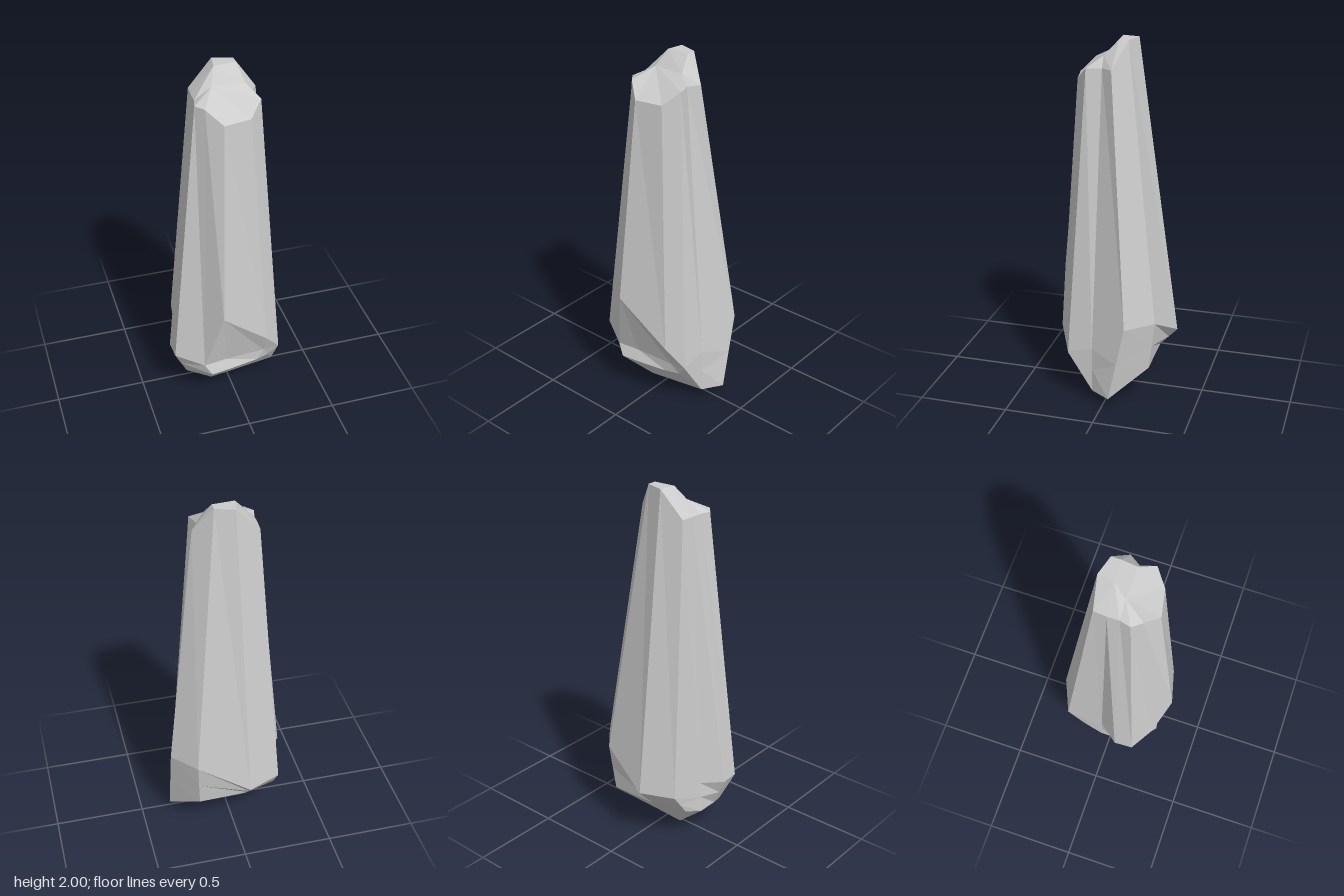
import * as THREE from 'three';

const V = (x, y, z) => new THREE.Vector3(x, y, z);

export function createModel() {
  const group = new THREE.Group();
  group.name = 'rockPillar';

  // Corners of the peak and of the foot
  const n = V(-0.05, 2, -0.02), o = V(0.07, 2, -0.03);
  const p = V(-0.08, 1.92, 0.045), q = V(0.095, 1.92, 0.045);
  const footFront = V(-0.1, 0, 0.07), footBack = V(-0.1, 0, -0.02);

  // Each edge column: peak, shoulder, waist, underside, foot, optional ledge
  const columns = [
    [n, V(-0.035, 2, -0.11), V(-0.07, 0.33, -0.335), V(-0.08, 0.22, -0.235), footBack],
    [n, V(-0.165, 1.86, -0.09), V(-0.255, 0.33, -0.255), V(-0.255, 0.2, -0.16), footBack],
    [n, V(-0.17, 1.86, -0.02), V(-0.26, 0.33, -0.04), V(-0.27, 0.15, -0.04), footBack],
    [p, V(-0.17, 1.86, 0.045), V(-0.345, 0.32, 0.07), V(-0.27, 0.15, 0.08), footFront],
    [p, V(-0.185, 1.86, 0.105), V(-0.34, 0.32, 0.175), V(-0.265, 0.15, 0.13), footFront],
    [p, V(-0.145, 1.86, 0.155), V(-0.19, 0.275, 0.255), V(-0.15, 0.21, 0.27), footFront, V(-0.19, 0.275, 0.255)],
    [p, V(-0.065, 1.79, 0.22), V(-0.1, 0.65, 0.335), V(-0.05, 0.21, 0.255), footFront, V(-0.06, 0.275, 0.235)],
    [p, V(0.085, 1.79, 0.19), V(0.17, 0.4, 0.27), V(0.13, 0.21, 0.22), footFront, V(0.17, 0.275, 0.22)],
    [q, V(0.155, 1.86, 0.125), V(0.262, 0.285, 0.21), V(0.205, 0.21, 0.195), footFront, V(0.262, 0.275, 0.21)],
    [q, V(0.13, 1.86, 0.045), V(0.27, 0.32, 0.07), V(0.27, 0.06, 0.07), footFront],
    [o, V(0.17, 1.86, -0.015), V(0.34, 0.49, -0.13), V(0.34, 0.06, -0.04), footBack],
    [o, V(0.07, 2, -0.08), V(0.215, 0.49, -0.27), V(0.2, 0.21, -0.235), footBack],
  ].map(([peak, shoulder, waist, under, foot, ledge]) =>
    [peak, shoulder, waist, ledge ?? waist.clone().lerp(under, 0.5), under, foot]);

  const points = [];
  const tri = (a, b, c) => {
    const area = b.clone().sub(a).cross(c.clone().sub(a)).length();
    if (area > 1e-7) points.push(a, b, c);
  };

  // Skin neighbouring columns with facets
  columns.forEach((left, i) => {
    const right = columns[(i + 1) % columns.length];
    for (let r = 0; r < left.length - 1; r++) {
      tri(left[r], left[r + 1], right[r + 1]);
      tri(left[r], right[r + 1], right[r]);
    }
  });

  // Close the peak
  tri(n, p, q);
  tri(n, q, o);

  const geometry = new THREE.BufferGeometry().setFromPoints(points);
  geometry.computeVertexNormals();
  const rock = new THREE.Mesh(geometry,
    new THREE.MeshStandardMaterial({ color: 0xcccccc, flatShading: true }));
  rock.name = 'rock';
  group.add(rock);
  return group;
}
